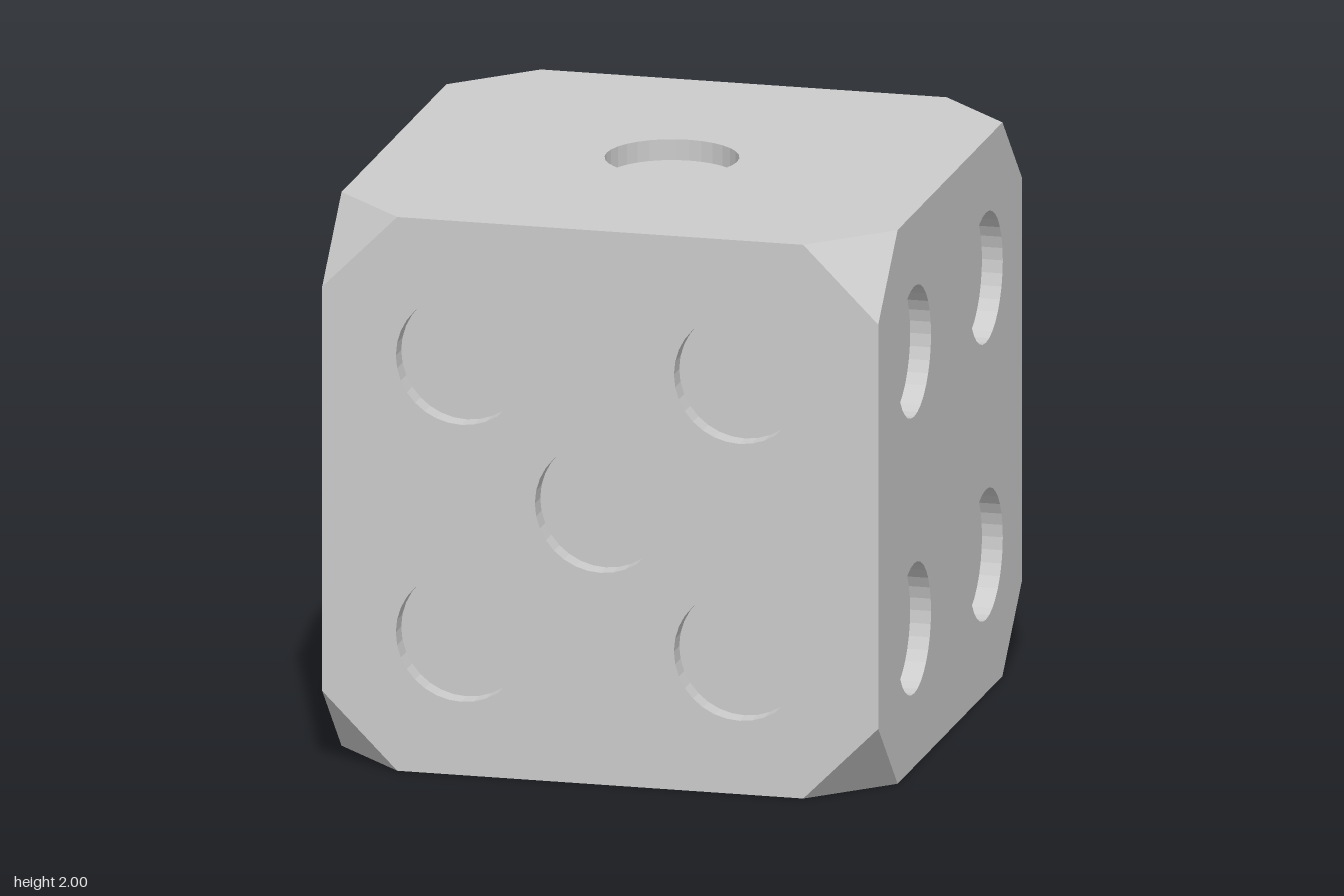
import * as THREE from 'three';

const HALF = 1, CUT = 0.27, PIP_R = 0.235, PIP_DEPTH = 0.075, SIDES = 32;

// Pip centres on each face, in the face's own (x, y) plane
const FACES = [
  { name: 'frontFace', rot: [0, 0, 0], pips: [[-0.5, 0.5], [0.5, 0.5], [0, 0], [-0.5, -0.5], [0.5, -0.5]] },
  { name: 'leftFace', rot: [0, Math.PI / 2, 0], pips: [[-0.5, 0.5], [0.5, 0.5], [-0.5, -0.5], [0.5, -0.5]] },
  { name: 'backFace', rot: [0, Math.PI, 0], pips: [[-0.5, 0.5], [0.5, -0.5]] },
  { name: 'rightFace', rot: [0, -Math.PI / 2, 0], pips: [[0.5, 0.5], [0, 0], [-0.5, -0.5]] },
  { name: 'topFace', rot: [-Math.PI / 2, 0, 0], pips: [[0, 0]] },
  { name: 'bottomFace', rot: [Math.PI / 2, 0, 0],
    pips: [-0.62, 0, 0.62].flatMap((x) => [[x, -0.5], [x, 0.5]]) },
];

export function createModel() {
  const model = new THREE.Group();
  model.name = 'die';
  const body = new THREE.Group();
  body.name = 'body';
  body.position.y = HALF;
  model.add(body);

  const material = new THREE.MeshStandardMaterial({ color: 0xcccccc, flatShading: true });
  const wallMaterial = material.clone();
  wallMaterial.side = THREE.BackSide; // pip walls are seen from inside

  const add = (parent, name, geometry, mat = material) => {
    const mesh = new THREE.Mesh(geometry, mat);
    mesh.name = name;
    parent.add(mesh);
    return mesh;
  };

  const wallGeometry = new THREE.CylinderGeometry(PIP_R, PIP_R, PIP_DEPTH, SIDES, 1, true).rotateX(Math.PI / 2);
  const floorGeometry = new THREE.CircleGeometry(PIP_R, SIDES);

  // Octagonal faces with recessed pips
  const a = HALF, b = HALF - CUT;
  const outline = [[b, -a], [a, -b], [a, b], [b, a], [-b, a], [-a, b], [-a, -b], [-b, -a]]
    .map(([x, y]) => new THREE.Vector2(x, y));
  for (const { name, rot, pips } of FACES) {
    const face = new THREE.Group();
    face.name = name;
    face.rotation.set(...rot);
    body.add(face);

    const shape = new THREE.Shape(outline);
    for (const [x, y] of pips) {
      shape.holes.push(new THREE.Path().absarc(x, y, PIP_R, 0, Math.PI * 2, true));
      add(face, 'pipWall', wallGeometry, wallMaterial).position.set(x, y, HALF - PIP_DEPTH / 2);
      add(face, 'pipFloor', floorGeometry).position.set(x, y, HALF - PIP_DEPTH);
    }
    add(face, 'facePanel', new THREE.ShapeGeometry(shape, SIDES / 2)).position.z = HALF;
  }

  // Triangular cut corners
  for (const x of [-1, 1]) for (const y of [-1, 1]) for (const z of [-1, 1]) {
    const points = [[b, a, a], [a, b, a], [a, a, b]]
      .map((p) => new THREE.Vector3(p[0] * x, p[1] * y, p[2] * z));
    // Choose the winding that faces outward
    const normal = new THREE.Triangle(...points).getNormal(new THREE.Vector3());
    if (normal.dot(points[0]) < 0) points.reverse();
    const geometry = new THREE.BufferGeometry().setFromPoints(points);
    geometry.computeVertexNormals();
    add(body, 'cutCorner', geometry);
  }
  return model;
}
